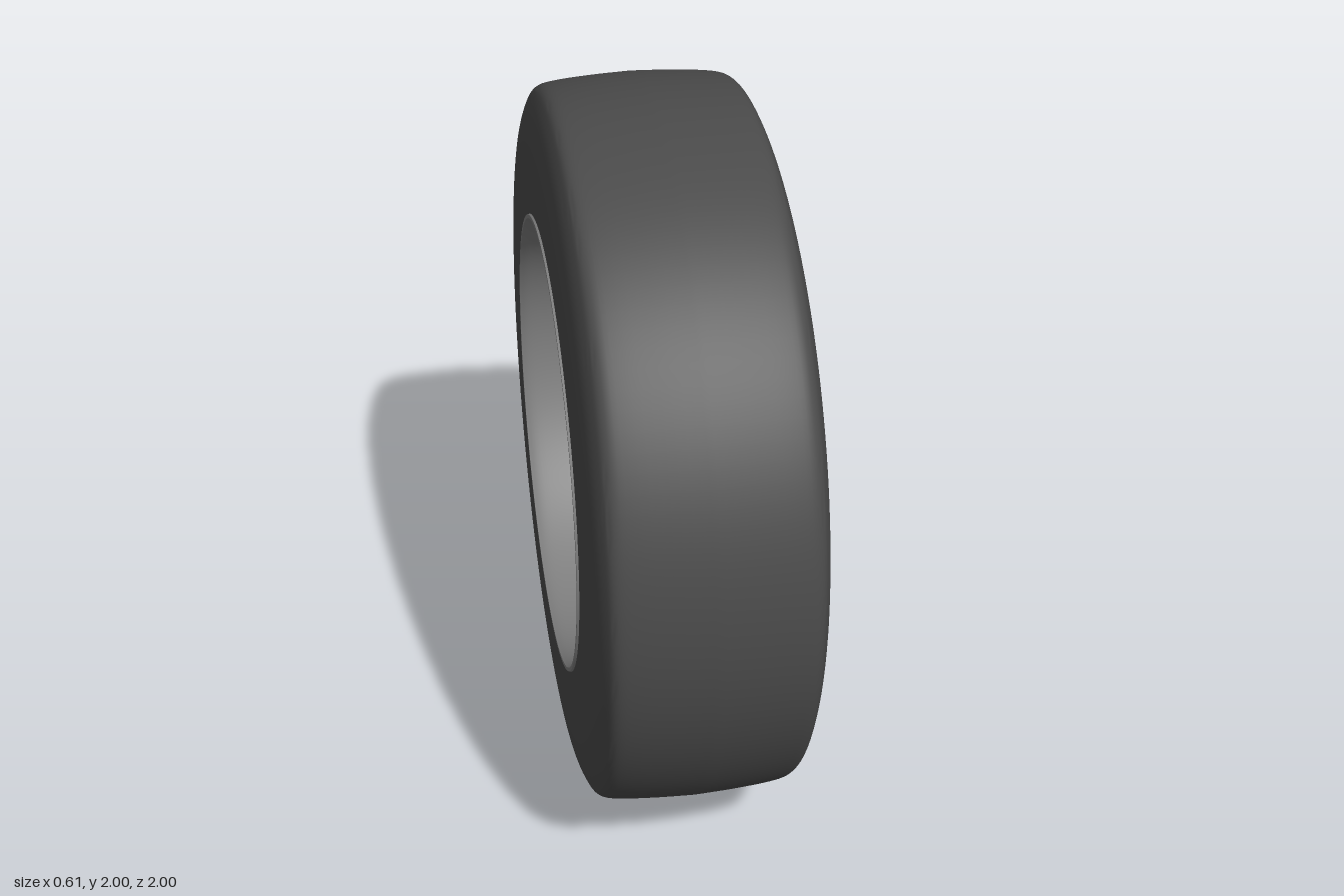
import * as THREE from 'three';
import { toCreasedNormals } from 'three/addons/utils/BufferGeometryUtils.js';

const rubber = new THREE.MeshStandardMaterial({ color: 0x4a4a4a });
const metal = new THREE.MeshStandardMaterial({ color: 0x808080 });

function part(name, geometry, material) {
  const mesh = new THREE.Mesh(geometry, material);
  mesh.name = name;
  return mesh;
}

// Turn a [radius, x] profile about the x axis; outer faces run towards +x.
function turned(profile, segments = 96) {
  const points = profile.map(([r, x]) => new THREE.Vector2(r, x));
  const geometry = new THREE.LatheGeometry(points, segments).rotateZ(-Math.PI / 2);
  return toCreasedNormals(geometry, 0.6);
}

function smooth(profile, count) {
  const curve = new THREE.SplineCurve(profile.map(([r, x]) => new THREE.Vector2(r, x)));
  return curve.getPoints(count).map((p) => [p.x, p.y]);
}

// Rounded slot bent around the wheel centre, centred on the given angle.
function slot(angle) {
  const a = 0.155, b = 0.057, c = 0.045, radius = 0.447;
  const outline = new THREE.Shape();
  [[1, 1], [-1, 1], [-1, -1], [1, -1]].forEach(([sx, sy], i) => {
    const start = i * Math.PI / 2;
    outline.absarc(sx * (a - c), sy * (b - c), c, start, start + Math.PI / 2);
  });
  outline.closePath();
  const points = outline.getSpacedPoints(56).slice(0, -1).map((p) => {
    const r = radius + p.y, t = angle - p.x / radius;
    return new THREE.Vector2(r * Math.cos(t), r * Math.sin(t));
  });
  return new THREE.Path(points);
}

export function createModel() {
  const wheel = new THREE.Group();
  wheel.name = 'wheel';

  // Tyre: crowned tread, rounded shoulders, flat sidewalls
  const half = smooth([
    [1, 0], [0.996, 0.1], [0.988, 0.2], [0.976, 0.25], [0.945, 0.272],
    [0.89, 0.289], [0.81, 0.299], [0.72, 0.3], [0.628, 0.296],
  ], 36);
  const mirrored = half.slice(1).reverse().map(([r, x]) => [r, -x]);
  wheel.add(part('tyre', turned([
    [0.618, -0.26], ...mirrored, ...half, [0.618, 0.26], [0.618, -0.26],
  ], 128), rubber));

  // Rim barrel: lips at both ends, seat for the disc near the outer end
  const frontLip = smooth([[0.632, 0.302], [0.622, 0.302], [0.612, 0.285], [0.602, 0.262]], 10);
  const frontWall = smooth([[0.598, 0.255], [0.588, 0.22], [0.575, 0.185], [0.556, 0.168]], 12);
  const rearWall = smooth([
    [0.556, 0.14], [0.572, 0.06], [0.588, -0.06], [0.6, -0.18], [0.612, -0.27], [0.622, -0.302],
  ], 24);
  wheel.add(part('rim', turned([
    [0.632, -0.302], [0.636, -0.29], [0.622, -0.25], [0.622, 0.25], [0.636, 0.29],
    ...frontLip, ...frontWall, [0.549, 0.163], ...rearWall, [0.632, -0.302],
  ], 128), metal));

  // Slotted disc
  const disc = new THREE.Shape();
  disc.absarc(0, 0, 0.56, 0, Math.PI * 2);
  const centre = new THREE.Path();
  centre.absarc(0, 0, 0.335, 0, Math.PI * 2, true);
  disc.holes.push(centre);
  for (let i = 0; i < 5; i++) disc.holes.push(slot(-Math.PI / 2 + i * Math.PI * 2 / 5));
  const discGeometry = new THREE.ExtrudeGeometry(disc, {
    depth: 0.02, bevelEnabled: false, curveSegments: 96,
  }).rotateY(Math.PI / 2).translate(0.137, 0, 0);
  wheel.add(part('slottedDisc', toCreasedNormals(discGeometry, 0.6), metal));

  // Centre bowl with a rolled flange and a flat mounting plate
  const bowlFront = smooth([
    [0.35, 0.158], [0.343, 0.171], [0.325, 0.18], [0.306, 0.173], [0.292, 0.145],
    [0.28, 0.105], [0.266, 0.08], [0.246, 0.07],
  ], 28);
  wheel.add(part('centreBowl', turned([
    [0, 0.05], [0.25, 0.05], [0.275, 0.075], [0.295, 0.115], [0.315, 0.14], [0.35, 0.14],
    ...bowlFront, [0, 0.07],
  ]), metal));

  // Hub cap in front and its shallow boss behind
  wheel.add(part('hubCap', turned([
    [0.12, 0.065], [0.116, 0.085], [0.112, 0.13], [0.107, 0.153], [0.097, 0.165], [0, 0.165],
  ], 64), metal));
  wheel.add(part('rearBoss', turned([[0, 0.046], [0.107, 0.046], [0.107, 0.055]], 64), metal));

  // Four domed wheel nuts
  const nutGeometry = turned([
    [0.028, 0.065], [0.028, 0.098], [0.025, 0.108], [0.016, 0.117], [0.007, 0.121], [0, 0.122],
  ], 24);
  for (const y of [-0.124, 0.124]) {
    for (const z of [-0.124, 0.124]) {
      const nut = part('wheelNut', nutGeometry, metal);
      nut.position.set(0, y, z);
      wheel.add(nut);
    }
  }

  wheel.position.y = 1;
  const model = new THREE.Group();
  model.name = 'carWheel';
  model.add(wheel);
  return model;
}
